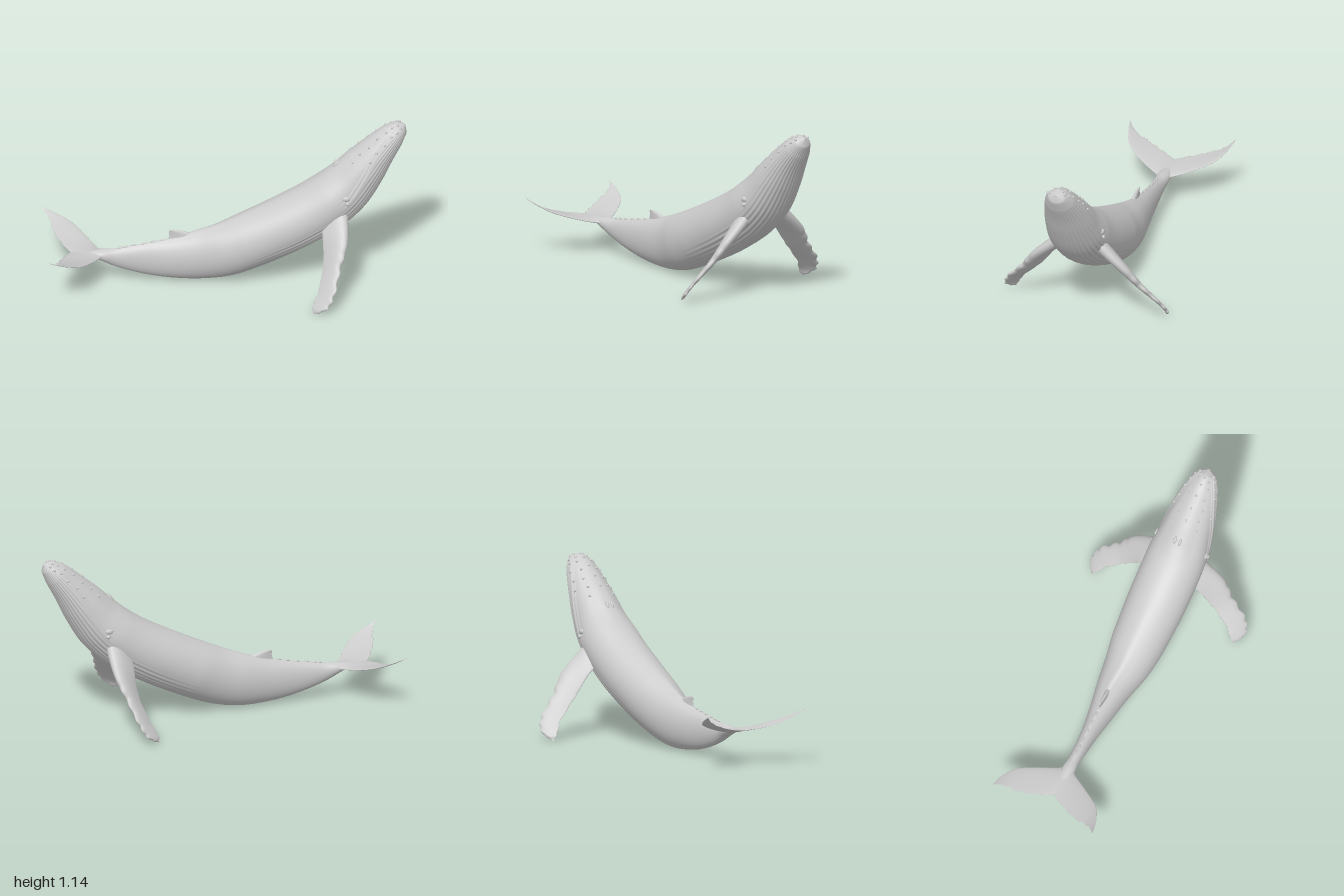
import * as THREE from 'three';

const { smoothstep, lerp } = THREE.MathUtils;
const V = (x, y, z) => new THREE.Vector3(x, y, z);
const grey = new THREE.MeshStandardMaterial({ color: 0xcccccc });
const curve = pts => new THREE.CatmullRomCurve3(pts.map(p => V(...p)));

// Smooth skin through closed rings: point(u, angle), u = 0..1
function skin(nu, nv, point) {
  const pos = [], index = [];
  for (let i = 0; i <= nu; i++) {
    for (let j = 0; j < nv; j++) {
      const p = point(i / nu, (j / nv) * Math.PI * 2);
      pos.push(p.x, p.y, p.z);
      if (i === nu) continue;
      const a = i * nv + j, b = i * nv + (j + 1) % nv;
      index.push(a, b, a + nv, b, b + nv, a + nv);
    }
  }
  const g = new THREE.BufferGeometry();
  g.setAttribute('position', new THREE.Float32BufferAttribute(pos, 3));
  g.setIndex(index);
  g.computeVertexNormals();
  return g;
}

function add(parent, name, geometry) {
  const m = new THREE.Mesh(geometry, grey);
  m.name = name;
  parent.add(m);
  return m;
}

// Body stations from tail to snout: z, y, half width, half height
const stations = [
  [-0.78, 0.23, 0.025, 0.004], [-0.66, 0.21, 0.045, 0.038], [-0.58, 0.19, 0.04, 0.06],
  [-0.495, 0.178, 0.043, 0.083], [-0.35, 0.167, 0.056, 0.115], [-0.2, 0.166, 0.08, 0.142],
  [-0.014, 0.185, 0.115, 0.172], [0.15, 0.225, 0.15, 0.187], [0.31, 0.29, 0.177, 0.192],
  [0.62, 0.44, 0.197, 0.192], [0.82, 0.562, 0.198, 0.188], [0.95, 0.675, 0.192, 0.178],
  [1.08, 0.835, 0.166, 0.148], [1.17, 0.95, 0.138, 0.116], [1.265, 1.06, 0.1, 0.084],
  [1.32, 1.112, 0.06, 0.05], [1.345, 1.135, 0.001, 0.001],
];
const spine = curve(stations.map(([z, y]) => [z > 0.1 ? -0.012 : 0, y, z]));
const sizes = curve(stations.map(([, , w, h]) => [w, h, 0]));

function bodyPoint(u, a) {
  const k = u * (stations.length - 1);
  const c = spine.getPoint(u), size = sizes.getPoint(u), t = spine.getTangent(u);
  const up = V(0, t.z, -t.y).normalize();
  // angle from the side line: +90 degrees on the back, -90 on the belly
  const elev = Math.asin(Math.sin(a));
  const head = smoothstep(k, 10.3, 11.5) * (1 - smoothstep(k, 15.3, 16));
  const mouth = lerp(-0.1, 0.6, smoothstep(k, 10.5, 15));
  let r = 1;
  // rostrum sits inside the wider lower jaw, with a mouth line between
  r -= 0.07 * head * smoothstep(elev, mouth, mouth + 0.14) * (1 - smoothstep(elev, 0.9, 1.5));
  r -= 0.05 * head * Math.exp(-(((elev - mouth) / 0.05) ** 2));
  // throat pleats
  const throat = smoothstep(k, 7.5, 9.5) * (1 - smoothstep(k, 14.6, 15.8))
    * (1 - smoothstep(elev, mouth - 0.35, mouth - 0.12));
  r += 0.013 * throat * Math.cos(a * 36);
  // soft ridge along the back of the tail
  const ridge = 0.06 * (1 - smoothstep(k, 6, 10)) * Math.exp(-(((elev - 1.57) / 0.25) ** 2));
  return c.add(V(size.x * Math.cos(a) * r, 0, 0))
    .addScaledVector(up, size.y * Math.sin(a) * (r + ridge));
}

// Blade between a leading and a trailing edge curve
function blade({ lead, trail, thick, side = 1, nu = 60, wave = () => 0, rear = () => 0 }) {
  const flip = pts => curve(pts.map(([x, y, z]) => [x * side, y, z]));
  const L = flip(lead), T = flip(trail);
  const mid = u => L.getPoint(u).lerp(T.getPoint(u), 0.5);
  return skin(nu, 28, (u, a) => {
    const chord = L.getPoint(u).sub(T.getPoint(u)), half = chord.length() / 2;
    chord.normalize();
    const span = mid(Math.min(1, u + 0.01)).sub(mid(Math.max(0, u - 0.01)));
    const normal = span.cross(chord).normalize();
    const c = Math.cos(a), s = Math.sin(a);
    const edge = half * c + Math.max(0, c) * wave(u) - Math.max(0, -c) * rear(u);
    return mid(u).addScaledVector(chord, edge)
      .addScaledVector(normal, s * (0.65 + 0.35 * c) * thick(u));
  });
}

export function createModel() {
  const root = new THREE.Group();
  root.name = 'whale';
  const whale = new THREE.Group();
  whale.name = 'whaleAlongDiagonal';
  whale.rotation.y = Math.PI / 4;
  root.add(whale);

  add(whale, 'body', skin(160, 216, bodyPoint));

  for (const side of [1, -1]) {
    const label = side > 0 ? 'left' : 'right';

    // flipper with a knobbly leading edge
    add(whale, label + 'Flipper', blade({
      side,
      lead: [[0.08, 0.64, 0.95], [0.185, 0.54, 0.955], [0.33, 0.41, 0.94], [0.425, 0.28, 0.89],
        [0.54, 0.15, 0.842], [0.573, 0.065, 0.79], [0.535, 0.01, 0.71]],
      trail: [[0.08, 0.52, 0.78], [0.2, 0.425, 0.785], [0.27, 0.33, 0.787], [0.335, 0.25, 0.78],
        [0.456, 0.125, 0.739], [0.505, 0.05, 0.7], [0.53, 0.01, 0.7]],
      thick: u => lerp(0.06, 0.014, smoothstep(u, 0, 0.8)) * (1 - 0.8 * smoothstep(u, 0.9, 1)),
      nu: 90,
      wave: u => 0.007 * smoothstep(u, 0.3, 0.5) * Math.sin(u * 62),
      rear: u => 0.003 * smoothstep(u, 0.3, 0.5) * Math.sin(u * 45),
    }));

    // tail fluke
    add(whale, label + 'Fluke', blade({
      side,
      lead: [[0, 0.21, -0.6], [0.05, 0.215, -0.665], [0.09, 0.222, -0.692], [0.177, 0.245, -0.745],
        [0.297, 0.29, -0.834], [0.348, 0.33, -0.93], [0.372, 0.37, -1.03]],
      trail: [[0, 0.235, -0.865], [0.06, 0.245, -0.9], [0.133, 0.258, -0.934], [0.222, 0.283, -0.968],
        [0.29, 0.31, -0.979], [0.34, 0.342, -1.003], [0.371, 0.371, -1.032]],
      thick: u => lerp(0.026, 0.003, Math.sqrt(u)),
      rear: u => 0.005 * Math.sin(u * 38) * Math.sin(u * Math.PI),
    }));

    // eye under a small brow
    const eye = add(whale, label + 'Eye', new THREE.SphereGeometry(0.014, 16, 12));
    eye.position.copy(bodyPoint(10.9 / 16, side > 0 ? -0.12 : Math.PI + 0.12));
    const brow = add(whale, label + 'Brow', new THREE.SphereGeometry(0.022, 16, 12));
    brow.position.copy(bodyPoint(11 / 16, side > 0 ? 0.05 : Math.PI - 0.05));
    brow.scale.set(0.5, 0.8, 1.2);

    // blowhole ridge
    const blow = add(whale, label + 'BlowholeRidge', new THREE.SphereGeometry(0.02, 16, 12));
    blow.position.copy(bodyPoint(11.5 / 16, Math.PI / 2 - side * 0.1));
    blow.scale.set(0.5, 0.6, 1.5);
    blow.rotation.x = -0.85;

    // knobs on the upper and lower jaws
    for (const [rise, from, count] of [[0.95, 12, 7], [0.3, 12.6, 6]]) {
      for (let i = 0; i < count; i++) {
        const a = rise + 0.08 * (i % 2);
        const knob = add(whale, label + 'JawKnob', new THREE.SphereGeometry(0.009, 10, 8));
        knob.position.copy(bodyPoint((from + i * 0.5) / 16, side > 0 ? a : Math.PI - a));
      }
    }
  }

  // knobs along the middle of the rostrum
  for (let i = 0; i < 5; i++) {
    const knob = add(whale, 'rostrumKnob', new THREE.SphereGeometry(0.008, 10, 8));
    knob.position.copy(bodyPoint((12.4 + i * 0.6) / 16, Math.PI / 2));
  }

  // low hooked dorsal fin
  add(whale, 'dorsalFin', blade({
    lead: [[0, 0.29, 0.04], [0, 0.345, -0.06], [0, 0.37, -0.13], [0, 0.38, -0.19]],
    trail: [[0, 0.26, -0.26], [0, 0.305, -0.225], [0, 0.34, -0.213], [0, 0.374, -0.215]],
    thick: u => lerp(0.03, 0.007, u),
    nu: 24,
  }));

  // small bumps along the ridge behind the dorsal fin
  for (let i = 0; i < 6; i++) {
    const bump = add(whale, 'ridgeBump', new THREE.SphereGeometry(0.012, 10, 8));
    bump.position.copy(bodyPoint((2.4 + i * 0.45) / 16, Math.PI / 2));
    bump.scale.set(0.6, 0.6, 1.8);
  }
  return root;
}
